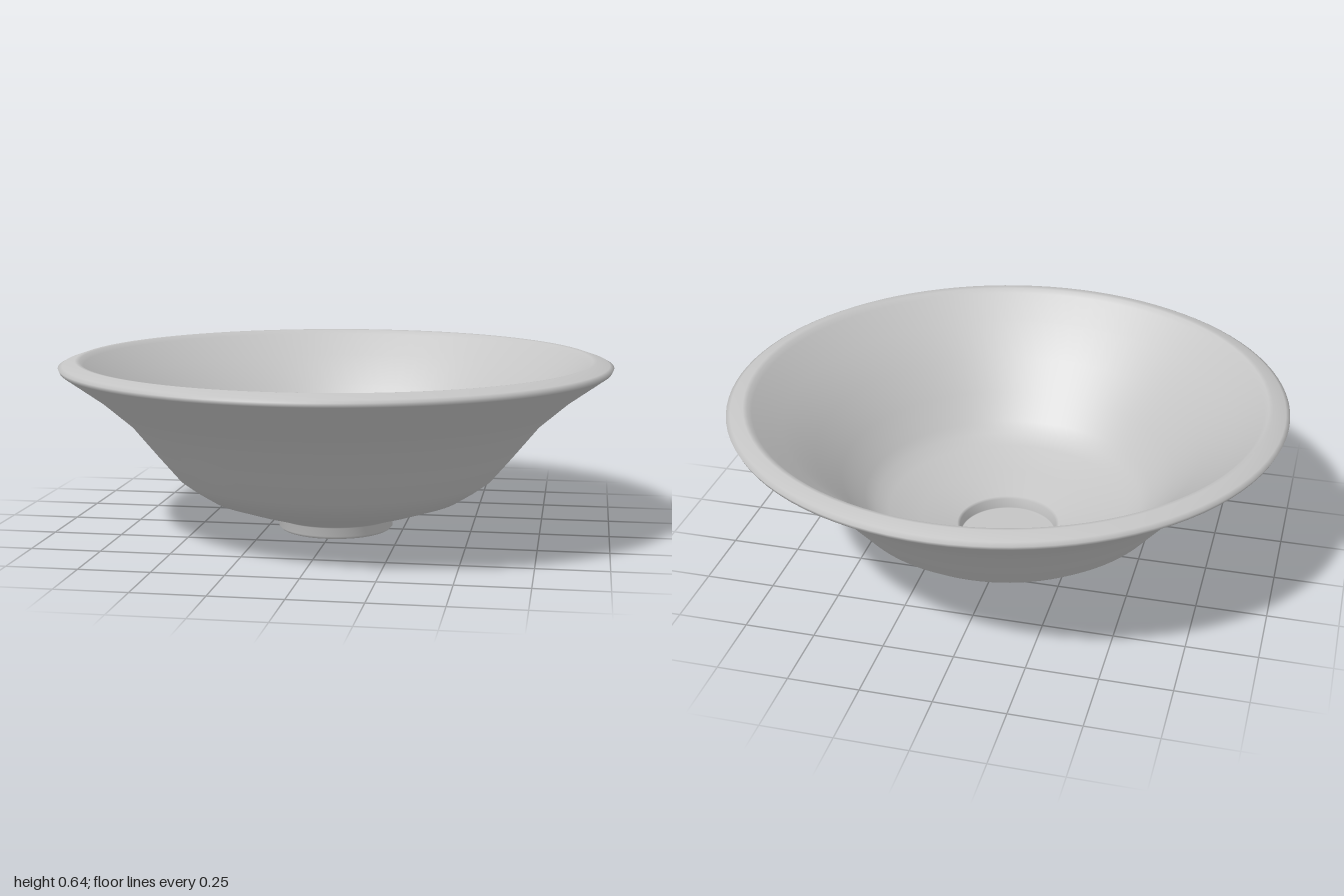
import * as THREE from 'three';

const porcelain = new THREE.MeshStandardMaterial({ name: 'greyPorcelain', color: 0xc4c4c4 });

// Closed profile [radius, height]: under the foot, up the outside, over the rim, down the inside
const profile = [
  [0, 0], [0.195, 0], [0.2, 0.002], [0.21, 0.012], [0.21, 0.042], [0.22, 0.048],
  [0.34, 0.085], [0.47, 0.13], [0.53, 0.168], [0.58, 0.205], [0.66, 0.3], [0.75, 0.41],
  [0.86, 0.505], [0.993, 0.6], [1, 0.615], [0.985, 0.623], [0.94, 0.638], [0.925, 0.636],
  [0.91, 0.622], [0.81, 0.54], [0.7, 0.435], [0.61, 0.325], [0.53, 0.23], [0.49, 0.198],
  [0.44, 0.167], [0.32, 0.122], [0.19, 0.084], [0.18, 0.078], [0.178, 0.042], [0.175, 0.04], [0, 0.04],
];

export function createModel() {
  const group = new THREE.Group();
  group.name = 'basin';

  // Round bowl with flared rim, small foot and recessed drain
  const points = profile.map(([r, y]) => new THREE.Vector2(r, y));
  const bowl = new THREE.Mesh(new THREE.LatheGeometry(points, 96), porcelain);
  bowl.name = 'bowl';
  group.add(bowl);

  return group;
}
